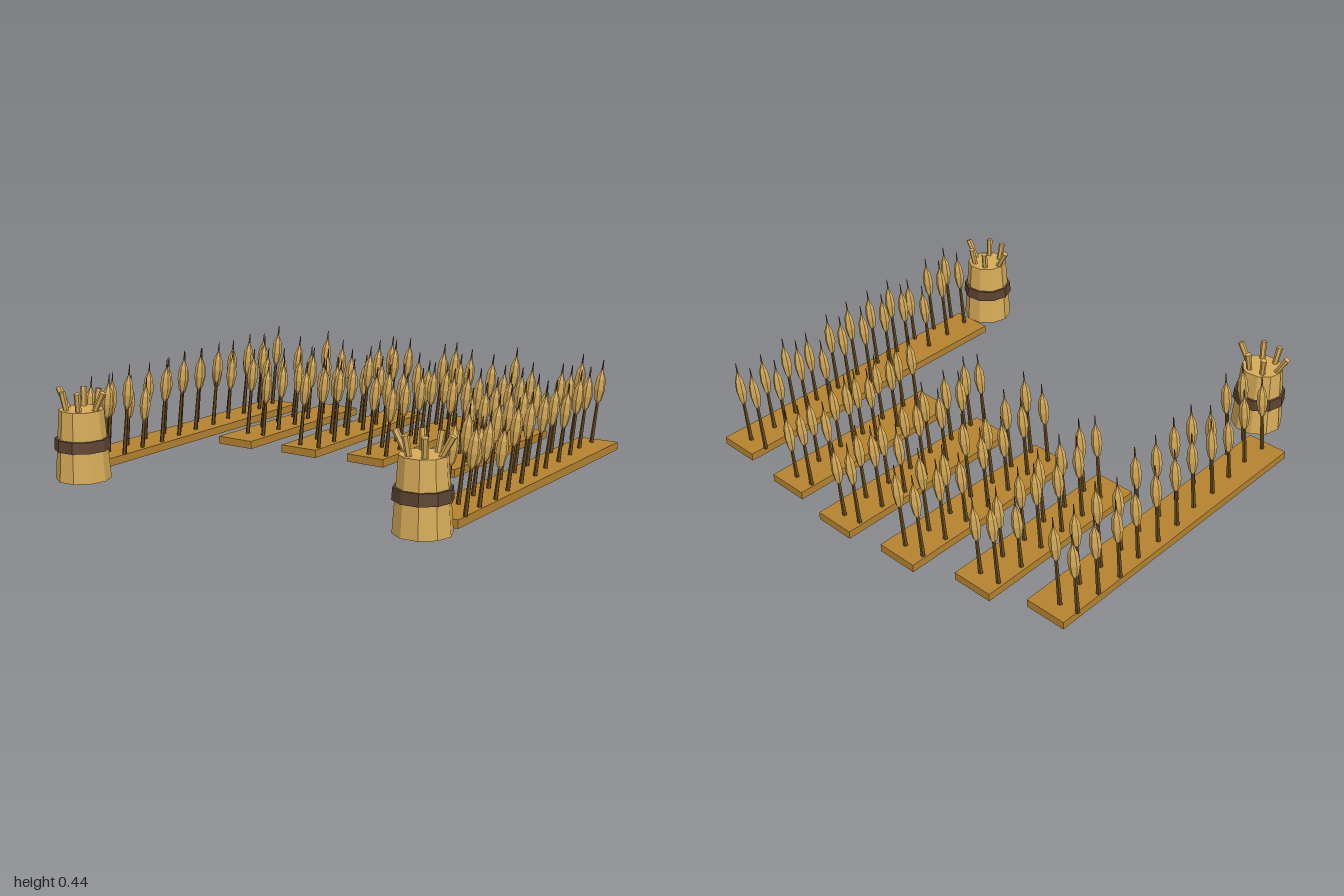
import * as THREE from 'three';

const mat = (color) => new THREE.MeshStandardMaterial({ color, flatShading: true });
const wood = mat(0xb5832f), straw = mat(0xd6ab58), stemMat = mat(0x664a1e), strap = mat(0x5c4330);
const UP = new THREE.Vector3(0, 1, 0);

function add(parent, name, geometry, material, x = 0, y = 0, z = 0) {
  const m = new THREE.Mesh(geometry, material);
  m.name = name;
  m.position.set(x, y, z);
  parent.add(m);
  return m;
}

// Shared stalk pieces
const HEAD = 0.175, TIP = 0.035, SOIL = 0.035;
const headGeo = new THREE.LatheGeometry(
  [[0, 0], [0.016, 0.025], [0.025, 0.075], [0.021, 0.125], [0, HEAD]].map((p) => new THREE.Vector2(...p)), 6);
headGeo.scale(1, 1, 0.85);
const tipGeo = new THREE.CylinderGeometry(0.002, 0.005, TIP + 0.01, 4);
const stemGeo = new THREE.CylinderGeometry(0.007, 0.01, 1, 5);

// One leaning stalk: stem, ear and awn, reaching the given top height
function makeStalk(top) {
  const g = new THREE.Group();
  g.name = 'stalk';
  const headBase = top - SOIL - TIP - HEAD;
  const stem = add(g, 'stem', stemGeo, stemMat, 0, (headBase + 0.02) / 2, 0);
  stem.scale.y = headBase + 0.02;
  add(g, 'ear', headGeo, straw, 0, headBase, 0);
  add(g, 'awn', tipGeo, stemMat, 0, headBase + HEAD + TIP / 2 - 0.005, 0);
  g.rotation.z = -0.11;
  return g;
}

// A slanted bed with two columns of stalks; rows run from the front to the back
function makeBed({ x, z, length, first, rows, caps, tops }) {
  const g = new THREE.Group();
  g.name = 'cropBed';
  const bed = add(g, 'plank', new THREE.BoxGeometry(0.187, SOIL, length), wood, x, SOIL / 2, z);
  bed.rotation.y = -0.075;
  for (let r = 0; r < rows; r++) {
    [-1, 1].forEach((side, c) => {
      const wobble = Math.sin(r * 2.3 + c * 1.7 + x * 9);
      const stalk = makeStalk(Math.min(caps[c], tops[r % tops.length]));
      stalk.position.set(x - 0.004 + side * 0.045 + wobble * 0.006, SOIL, first - r * 0.1355 + wobble * 0.003);
      g.add(stalk);
    });
  }
  return g;
}

// Ten-sided tapered basket with a strap and six splayed sticks
function makeBasket(x, z) {
  const g = new THREE.Group();
  g.name = 'basket';
  g.position.set(x, 0, z);
  const turn = Math.PI / 10;
  add(g, 'basketBody', new THREE.CylinderGeometry(0.093, 0.115, 0.295, 10), straw, 0, 0.158, 0).rotation.y = turn;
  add(g, 'strap', new THREE.CylinderGeometry(0.113, 0.117, 0.048, 10), strap, 0, 0.162, 0).rotation.y = turn;
  for (let i = 0; i < 6; i++) {
    const a = (i * Math.PI) / 3, outer = i % 3 === 0;
    const from = new THREE.Vector3(Math.cos(a) * 0.06, 0.28, Math.sin(a) * 0.06);
    const r = outer ? 0.117 : 0.08;
    const to = new THREE.Vector3(Math.cos(a) * r, 0.385, Math.sin(a) * r);
    const dir = to.clone().sub(from);
    const stick = add(g, 'stick', new THREE.CylinderGeometry(0.014, 0.012, dir.length(), 6), straw);
    stick.position.copy(from).add(to).multiplyScalar(0.5);
    stick.quaternion.setFromUnitVectors(UP, dir.normalize());
  }
  return g;
}

export function createModel() {
  const model = new THREE.Group();
  model.name = 'cropBeds';
  const longTops = [0.425, 0.445, 0.36, 0.425, 0.445, 0.43, 0.44, 0.385, 0.44, 0.41, 0.44];
  const shortTops = [0.44, 0.42, 0.4, 0.44, 0.37, 0.43, 0.42];
  const beds = [
    { x: -0.852, z: -0.07, length: 1.474, first: 0.62, rows: 11, caps: [0.4, 0.44], tops: longTops },
    { x: -0.512, z: -0.425, length: 0.872, first: -0.115, rows: 6, caps: [0.44, 0.39], tops: shortTops },
    { x: -0.171, z: -0.455, length: 0.927, first: -0.04, rows: 7, caps: [0.42, 0.44], tops: shortTops },
    { x: 0.168, z: -0.46, length: 0.935, first: -0.048, rows: 7, caps: [0.43, 0.39], tops: shortTops },
    { x: 0.508, z: -0.43, length: 0.875, first: -0.125, rows: 6, caps: [0.44, 0.365], tops: shortTops },
    { x: 0.852, z: -0.075, length: 1.474, first: 0.61, rows: 11, caps: [0.44, 0.42], tops: longTops },
  ];
  beds.forEach((b) => model.add(makeBed(b)));
  model.add(makeBasket(-0.76, 0.818), makeBasket(0.81, 0.8));
  return model;
}
